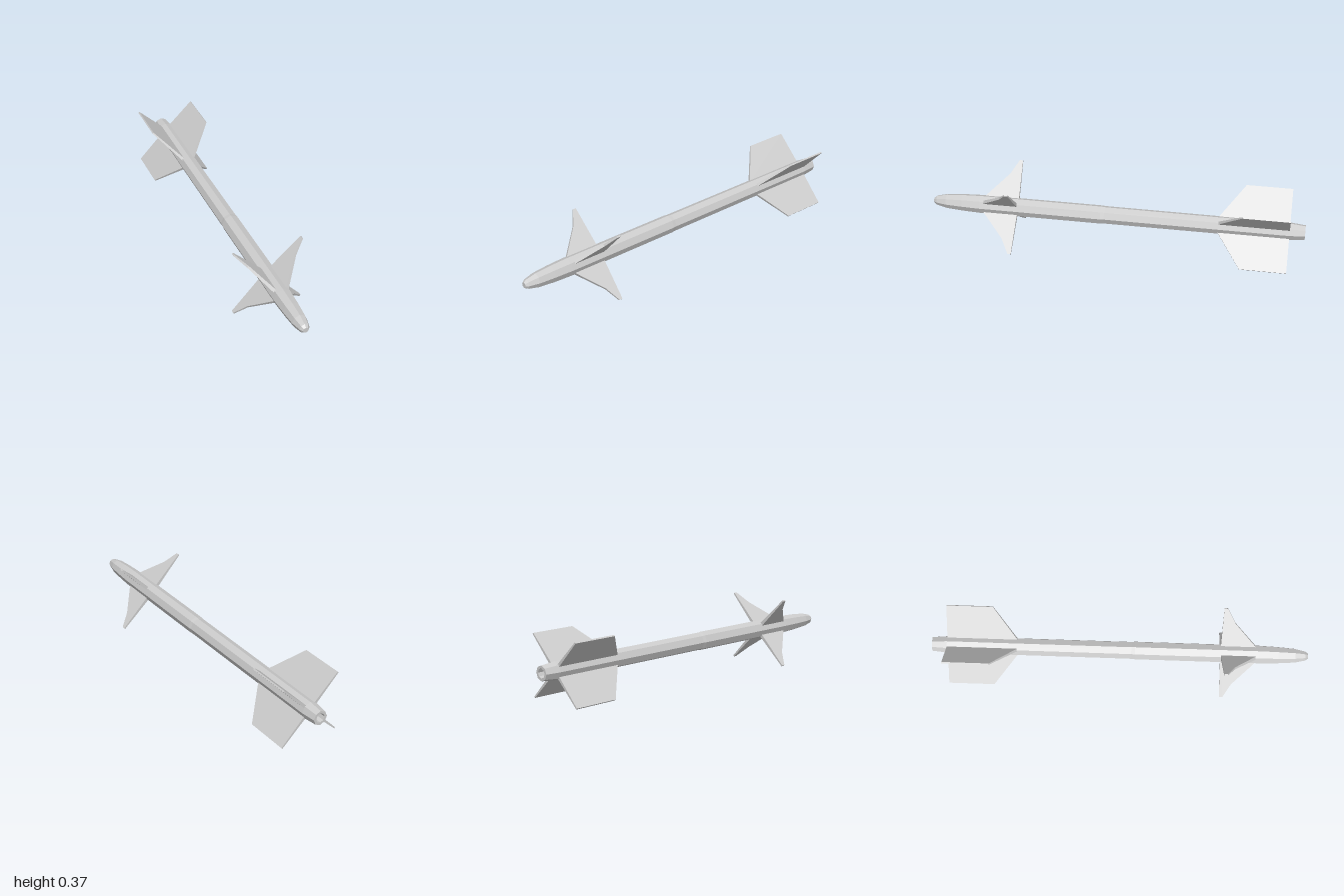
import * as THREE from 'three';

const AXIS_Y = 0.187;
const material = new THREE.MeshStandardMaterial({ color: 0xcccccc, flatShading: true });

// Fin from an outline of [radius, z] points, thinning evenly from root to tip
function finGeometry(outline, rootHalf, tipHalf) {
  const shape = new THREE.Shape(outline.map(([r, z]) => new THREE.Vector2(r, z)));
  const geometry = new THREE.ExtrudeGeometry(shape, { depth: 2, bevelEnabled: false });
  geometry.translate(0, 0, -1);
  const rootR = Math.min(...outline.map((p) => p[0]));
  const tipR = Math.max(...outline.map((p) => p[0]));
  const pos = geometry.attributes.position;
  for (let i = 0; i < pos.count; i++) {
    const t = (pos.getX(i) - rootR) / (tipR - rootR);
    pos.setZ(i, pos.getZ(i) * THREE.MathUtils.lerp(rootHalf, tipHalf, t));
  }
  // Outline's second axis becomes the length of the body
  geometry.rotateX(Math.PI / 2);
  geometry.computeVertexNormals();
  return geometry;
}

// Four fins in an X around the body axis
function finSet(name, geometry) {
  const set = new THREE.Group();
  set.name = name;
  for (let i = 0; i < 4; i++) {
    const fin = new THREE.Mesh(geometry, material);
    fin.name = `${name}${i + 1}`;
    fin.rotation.z = Math.PI / 4 + (i * Math.PI) / 2;
    set.add(fin);
  }
  return set;
}

export function createModel() {
  const model = new THREE.Group();
  model.name = 'finnedMissile';

  // Eight-sided body: recessed nozzle, tapered tail, long tube and blunt nose
  const profile = [
    [0, -0.96], [0.023, -0.96], [0.025, -1], [0.039, -1], [0.047, -0.92],
    [0.048, 0.06], [0.05, 0.08], [0.05, 0.74], [0.046, 0.84],
    [0.039, 0.93], [0.026, 0.985], [0.015, 1], [0, 1],
  ].map(([r, z]) => new THREE.Vector2(r, z));
  const body = new THREE.Mesh(new THREE.LatheGeometry(profile, 8).rotateX(Math.PI / 2), material);
  body.name = 'body';
  model.add(body);

  // Forward steering fins with a kinked leading edge
  model.add(finSet('frontFin', finGeometry(
    [[0.035, 0.73], [0.035, 0.535], [0.26, 0.542], [0.26, 0.56], [0.18, 0.602]], 0.0095, 0.004)));

  // Large clipped tail fins
  model.add(finSet('tailFin', finGeometry(
    [[0.035, -0.54], [0.035, -0.92], [0.227, -0.92], [0.227, -0.675]], 0.008, 0.004)));

  model.position.y = AXIS_Y;
  const root = new THREE.Group();
  root.add(model);
  return root;
}
